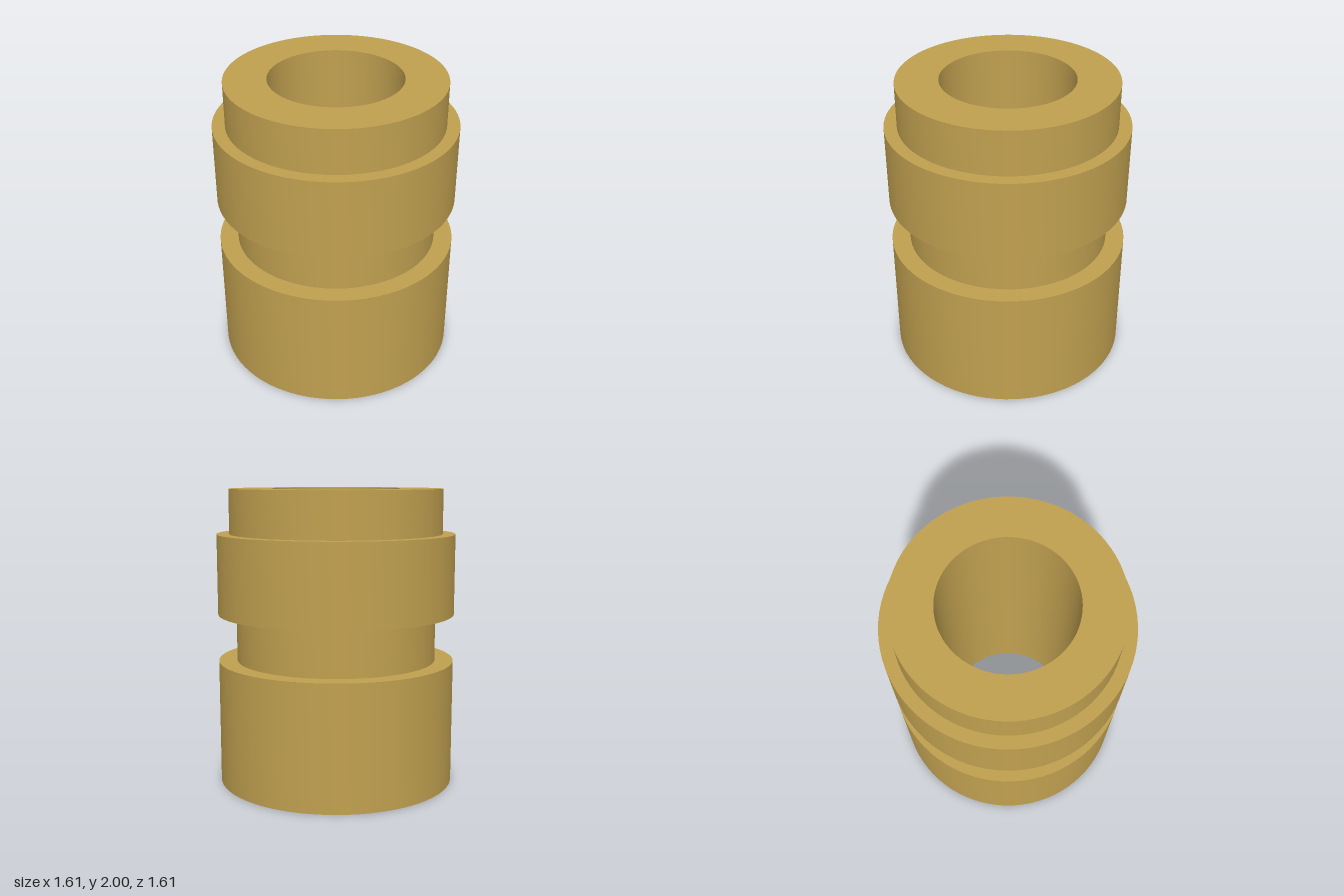
import * as THREE from 'three';
import { toCreasedNormals } from 'three/addons/utils/BufferGeometryUtils.js';

export function createModel() {
  const group = new THREE.Group();
  group.name = 'groovedBushing';

  const brass = new THREE.MeshStandardMaterial({ color: 0xc0a050 });
  brass.name = 'brass';

  const bore = 0.44, body = 0.805, groove = 0.68, neck = 0.72;

  // Closed cross-section: underside, body, groove, collar, neck, then back down the bore
  const profile = [
    [bore, 0], [body, 0], [body, 0.84],
    [groove, 0.84], [groove, 1.16],
    [body, 1.16], [body, 1.7],
    [neck, 1.7], [neck, 2],
    [bore, 2], [bore, 0],
  ].map(([r, y]) => new THREE.Vector2(r, y));

  // Smooth around the axis, sharp at every step
  const geometry = toCreasedNormals(new THREE.LatheGeometry(profile, 80), 0.6);
  const bushing = new THREE.Mesh(geometry, brass);
  bushing.name = 'bushingBody';
  group.add(bushing);

  return group;
}
